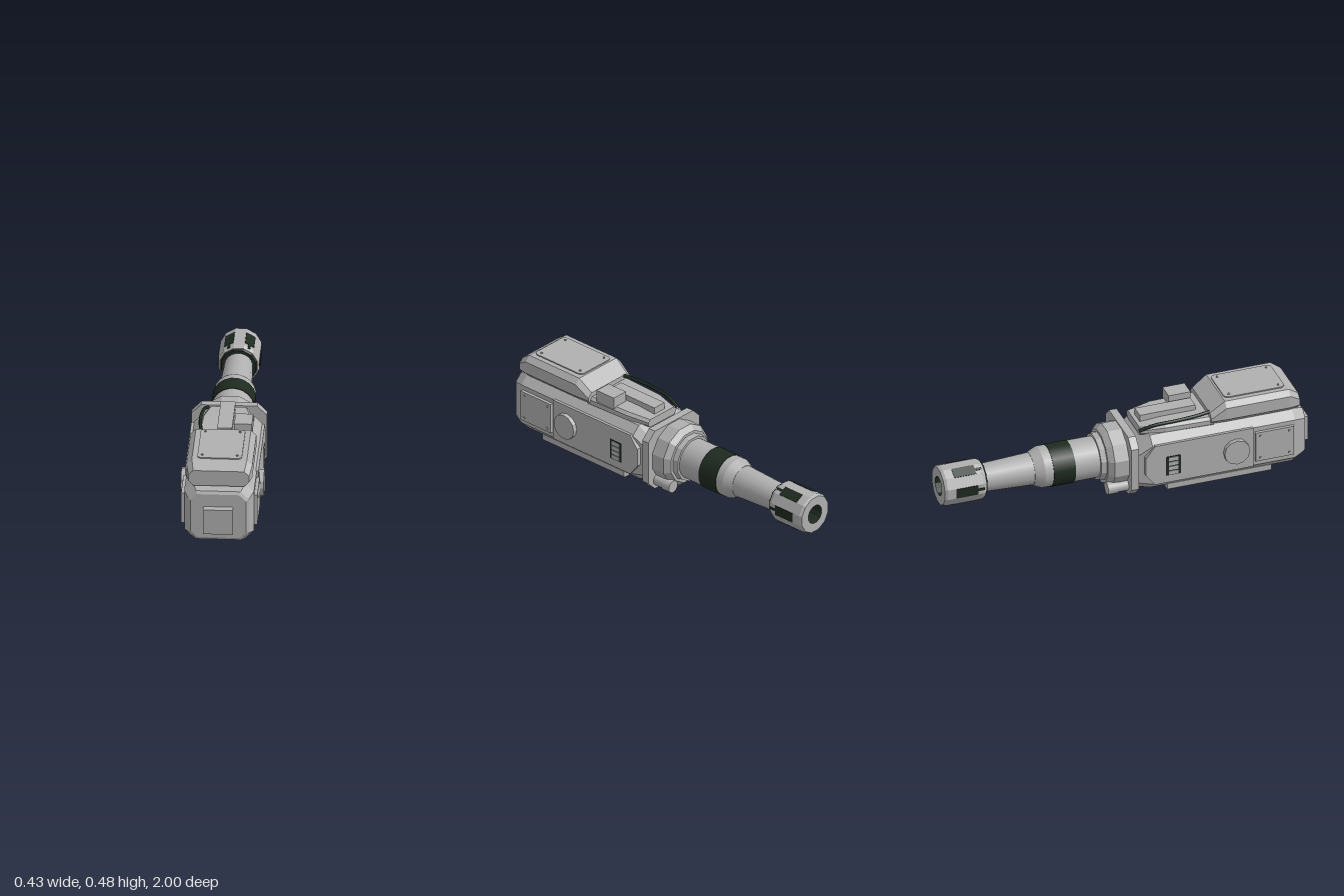
import * as THREE from 'three';

const grey = new THREE.MeshStandardMaterial({ color: 0xb0b0b0 });
grey.name = 'grey metal';
const dark = new THREE.MeshStandardMaterial({ color: 0x1e2a20 });
dark.name = 'dark green';
const AXIS_Y = 0.192; // height of the barrel axis

export function createModel() {
  const model = new THREE.Group();
  model.name = 'heavyCannon';

  const add = (name, geo, mat = grey, x = 0, y = 0, z = 0, parent = model) => {
    const m = new THREE.Mesh(geo, mat);
    m.name = name;
    m.position.set(x, y, z);
    parent.add(m);
    return m;
  };
  const flat = (geo) => {
    const g = geo.index ? geo.toNonIndexed() : geo;
    g.computeVertexNormals();
    return g;
  };
  // Box given by its limits on each axis
  const box = (name, x0, x1, y0, y1, z0, z1, mat = grey, parent = model) =>
    add(name, new THREE.BoxGeometry(x1 - x0, y1 - y0, z1 - z0), mat,
      (x0 + x1) / 2, (y0 + y1) / 2, (z0 + z1) / 2, parent);

  // Faceted solid through chamfered rectangles [z, halfWidth, bottom, top, chamfer], front to back
  const loft = (name, sections) => {
    const rings = sections.map(([z, w, b, t, c]) => [
      [w, b + c, z], [w, t - c, z], [w - c, t, z], [c - w, t, z],
      [-w, t - c, z], [-w, b + c, z], [c - w, b, z], [w - c, b, z],
    ]);
    const pos = [];
    const tri = (...pts) => pts.forEach((p) => pos.push(...p));
    for (let i = 0; i < rings.length - 1; i++) {
      for (let j = 0; j < 8; j++) {
        const k = (j + 1) % 8, f = rings[i], r = rings[i + 1];
        tri(f[j], r[j], r[k]);
        tri(f[j], r[k], f[k]);
      }
    }
    const first = rings[0], last = rings[rings.length - 1];
    for (let j = 1; j < 7; j++) {
      tri(first[0], first[j], first[j + 1]);
      tri(last[0], last[j + 1], last[j]);
    }
    const g = new THREE.BufferGeometry();
    g.setAttribute('position', new THREE.Float32BufferAttribute(pos, 3));
    g.computeVertexNormals();
    return add(name, g);
  };

  // Round section along z, from zf (front) to zb (back)
  const round = (name, zf, rf, zb, rb, { mat = grey, sides = 20, faceted = false, x = 0, y = AXIS_Y, open = false } = {}) => {
    let g = new THREE.CylinderGeometry(rf, rb, zf - zb, sides, 1, open, Math.PI / sides);
    g.rotateX(Math.PI / 2);
    if (faceted) g = flat(g);
    return add(name, g, mat, x, y, (zf + zb) / 2);
  };

  // Receiver body, upper housing, deck and flange
  loft('body', [
    [0.96, 0.143, 0.065, 0.312, 0.035], [0.95, 0.157, 0.05, 0.327, 0.042],
    [0.89, 0.18, 0.03, 0.345, 0.045], [0.11, 0.18, 0.03, 0.345, 0.045],
    [0.02, 0.15, 0.045, 0.27, 0.04],
  ]);
  box('nosePlate', -0.077, 0.077, 0.103, 0.242, 0.95, 1.0);
  loft('upperHousing', [
    [0.925, 0.157, 0.345, 0.43, 0.025], [0.87, 0.17, 0.345, 0.468, 0.028],
    [0.52, 0.17, 0.345, 0.468, 0.028], [0.44, 0.16, 0.345, 0.41, 0.025],
  ]);
  loft('rearDeck', [
    [0.46, 0.145, 0.33, 0.385, 0.015], [0.2, 0.135, 0.33, 0.385, 0.015], [0.07, 0.105, 0.33, 0.375, 0.015],
  ]);
  loft('flange', [[0.03, 0.195, 0.02, 0.362, 0.05], [-0.012, 0.195, 0.02, 0.362, 0.05]]);
  loft('bottomPlate', [
    [0.775, 0.143, 0, 0.04, 0.004], [0.205, 0.143, 0, 0.04, 0.004],
  ]);

  // Lid plate with rounded corners and rivets
  const lid = new THREE.Shape();
  const lw = 0.115, ll = 0.165, lr = 0.025;
  lid.absarc(lw - lr, ll - lr, lr, 0, Math.PI / 2);
  lid.absarc(lr - lw, ll - lr, lr, Math.PI / 2, Math.PI);
  lid.absarc(lr - lw, lr - ll, lr, Math.PI, Math.PI * 1.5);
  lid.absarc(lw - lr, lr - ll, lr, Math.PI * 1.5, Math.PI * 2);
  const lidGeo = new THREE.ExtrudeGeometry(lid, { depth: 0.008, bevelEnabled: false, curveSegments: 4 });
  lidGeo.rotateX(-Math.PI / 2);
  add('lidPlate', lidGeo, grey, 0, 0.466, 0.695);
  for (const x of [-0.09, 0.09]) for (const z of [0.56, 0.83])
    add('lidRivet', new THREE.CylinderGeometry(0.006, 0.006, 0.006, 8), grey, x, 0.476, z);

  // Deck fittings
  box('deckRail', -0.04, 0.037, 0.375, 0.414, 0.09, 0.395);
  box('sightBox', 0.048, 0.14, 0.375, 0.442, 0.28, 0.4);
  const cable = new THREE.CatmullRomCurve3([
    [-0.113, 0.405, 0.45], [-0.128, 0.403, 0.36], [-0.133, 0.4, 0.25], [-0.124, 0.392, 0.14], [-0.108, 0.365, 0.06],
  ].map((p) => new THREE.Vector3(...p)));
  add('cable', new THREE.TubeGeometry(cable, 20, 0.009, 8), dark);

  // Matching side details
  for (const s of [1, -1]) {
    const side = new THREE.Group();
    side.name = s > 0 ? 'leftSide' : 'rightSide';
    model.add(side);
    const sideBox = (name, d0, d1, y0, y1, z0, z1, mat) =>
      box(name, Math.min(s * d0, s * d1), Math.max(s * d0, s * d1), y0, y1, z0, z1, mat, side);
    sideBox('middleSlab', 0.17, 0.19, 0.075, 0.305, 0.46, 0.66);
    sideBox('accessPanel', 0.17, 0.197, 0.105, 0.275, 0.67, 0.88);
    for (const y of [0.125, 0.255]) for (const z of [0.695, 0.855])
      sideBox('panelRivet', 0.195, 0.201, y - 0.005, y + 0.005, z - 0.005, z + 0.005);

    // Rear slab with clipped back corners
    const slab = new THREE.Shape([[0.46, 0.075], [0.46, 0.305], [0.12, 0.305], [0.07, 0.24], [0.07, 0.14], [0.12, 0.075]]
      .map(([z, y]) => new THREE.Vector2(-z, y)));
    const slabGeo = new THREE.ExtrudeGeometry(slab, { depth: 0.025, bevelEnabled: false });
    slabGeo.rotateY(Math.PI / 2);
    add('rearSlab', slabGeo, grey, s > 0 ? 0.165 : -0.19, 0, 0, side);

    // Round hub
    const hub = flat(new THREE.CylinderGeometry(0.07, 0.07, 0.03, 12));
    hub.rotateZ(Math.PI / 2);
    add('sideHub', hub, grey, s * 0.199, 0.19, 0.563, side);

    // Slatted vent
    sideBox('ventBack', 0.188, 0.192, 0.118, 0.23, 0.18, 0.26, dark);
    for (let i = 0; i < 4; i++) {
      const y = 0.123 + i * 0.027;
      sideBox('ventSlat', 0.19, 0.196, y, y + 0.021, 0.194, 0.246);
    }

    // Recoil cylinder under the collar
    round('recoilCylinder', 0, 0.03, -0.08, 0.03, { sides: 12, x: s * 0.128, y: 0.068 });
    round('recoilCap', -0.07, 0.034, -0.125, 0.034, { sides: 12, x: s * 0.128, y: 0.068 });
  }

  // Collar and stepped barrel
  const facets = { sides: 12, faceted: true };
  round('collar', 0, 0.17, -0.09, 0.17, facets);
  round('collarBevel', -0.09, 0.17, -0.12, 0.145, facets);
  round('collarStep', -0.12, 0.13, -0.15, 0.125, facets);
  round('barrelBase', -0.14, 0.11, -0.285, 0.11);
  round('barrelBand', -0.285, 0.113, -0.405, 0.113, { mat: dark });
  round('barrelFront', -0.405, 0.11, -0.45, 0.11);
  round('barrelShoulder', -0.45, 0.11, -0.5, 0.088);
  round('barrelTaper', -0.5, 0.086, -0.79, 0.073);

  // Muzzle: faceted sleeve with a sunken bore and six dark slots
  round('muzzleSeal', -0.762, 0.092, -0.775, 0.1, { ...facets, mat: dark });
  const profile = [[0.07, -0.772], [0.1, -0.772], [0.11, -0.79], [0.11, -0.985], [0.103, -1], [0.052, -1]]
    .map(([r, z]) => new THREE.Vector2(r, -z)).reverse();
  const sleeve = new THREE.LatheGeometry(profile.reverse(), 12, Math.PI / 12);
  sleeve.rotateX(-Math.PI / 2);
  const muzzle = add('muzzle', flat(sleeve), grey, 0, AXIS_Y, 0);
  muzzle.updateMatrix();
  const bore = new THREE.CylinderGeometry(0.052, 0.052, 0.08, 12, 1, true, Math.PI / 12);
  bore.rotateX(Math.PI / 2);
  bore.setIndex([...bore.index.array].reverse());
  add('boreWall', flat(bore), dark, 0, AXIS_Y, -0.96);
  round('boreFloor', -0.9, 0.06, -0.925, 0.06, { sides: 12 });
  for (let i = 0; i < 6; i++) {
    const spoke = new THREE.Group();
    spoke.name = 'muzzleSlot';
    spoke.position.y = AXIS_Y;
    spoke.rotation.z = (i * Math.PI) / 3;
    model.add(spoke);
    box('slot', 0.102, 0.109, -0.027, 0.027, -0.94, -0.82, dark, spoke);
    box('slotGroove', 0.102, 0.109, -0.007, 0.007, -0.82, -0.785, dark, spoke);
  }
  return model;
}
